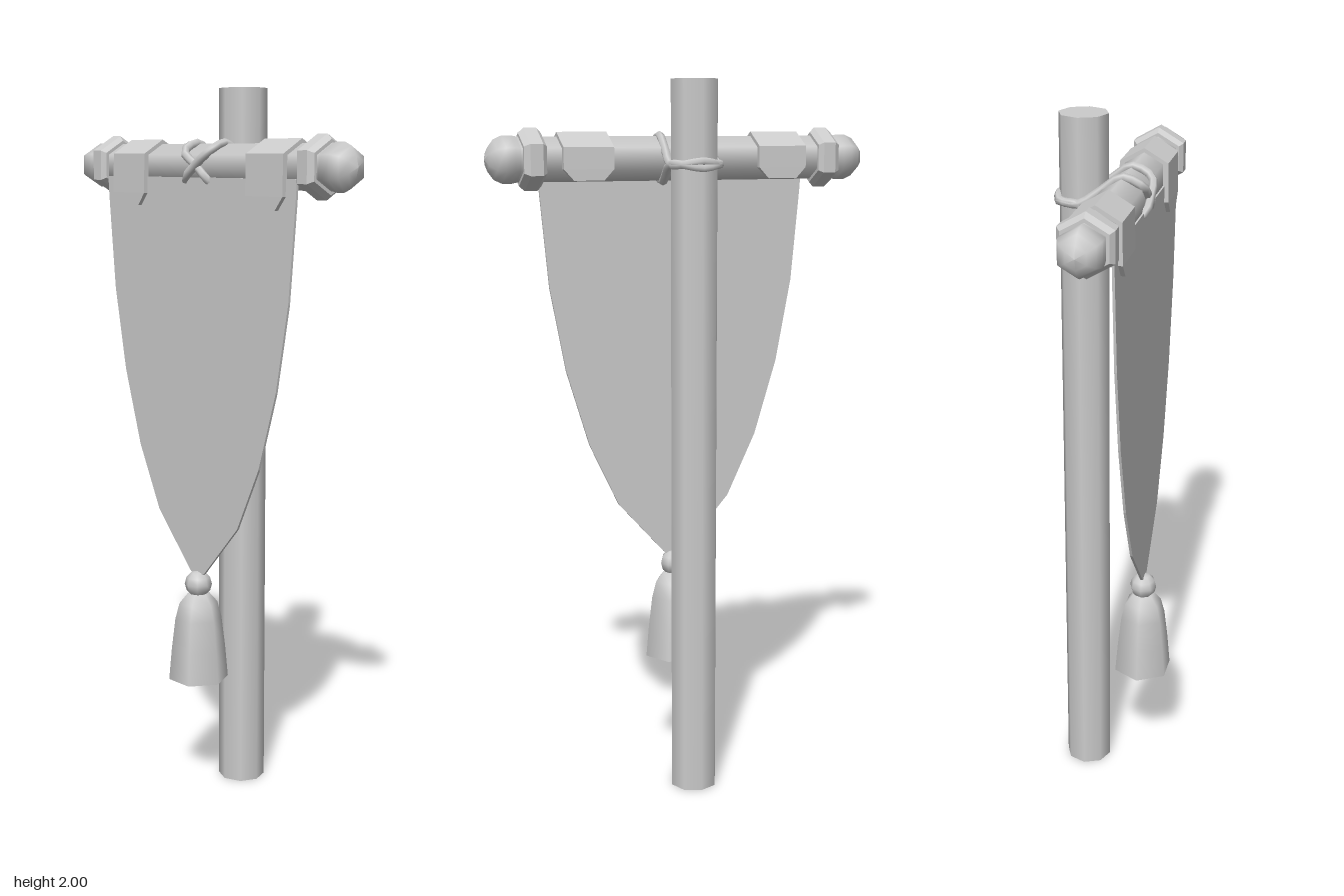
import * as THREE from 'three';

const V2 = (p) => new THREE.Vector2(p[0], p[1]);
const V3 = (p) => new THREE.Vector3(p[0], p[1], p[2]);
const BAR_Y = 1.79, BAR_Z = 0.035;

function material(options = {}) {
  return new THREE.MeshStandardMaterial({ color: 0xcccccc, ...options });
}

function part(parent, name, geometry, options) {
  const mesh = new THREE.Mesh(geometry, material(options));
  mesh.name = name;
  parent.add(mesh);
  return mesh;
}

// Six-sided turned shape; profile is [radius, height] from bottom to top
function turned(profile) {
  return new THREE.LatheGeometry(profile.map(V2), 6, Math.PI / 2);
}

// Lofted strap: rows of [y, z, half width, normal y, normal z] with a thickness
function strapGeometry(rows, thickness) {
  const pos = [], index = [];
  for (const [y, z, w, ny, nz] of rows) {
    const iy = y - ny * thickness, iz = z - nz * thickness;
    pos.push(-w, y, z, w, y, z, w, iy, iz, -w, iy, iz);
  }
  const last = (rows.length - 1) * 4;
  for (let r = 0; r < last; r += 4) {
    for (let k = 0; k < 4; k++) {
      const a = r + k, b = r + (k + 1) % 4;
      index.push(a, b, b + 4, a, b + 4, a + 4);
    }
  }
  index.push(0, 2, 1, 0, 3, 2, last, last + 1, last + 2, last, last + 2, last + 3);
  const g = new THREE.BufferGeometry();
  g.setAttribute('position', new THREE.Float32BufferAttribute(pos, 3));
  g.setIndex(index);
  g.computeVertexNormals();
  return g;
}

export function createModel() {
  const root = new THREE.Group();
  root.name = 'hangingBanner';

  // Upright pole
  part(root, 'pole', new THREE.CylinderGeometry(0.067, 0.067, 2, 8)).position.set(0, 1, -0.08);

  // Crossbar with its collars and rounded end knobs
  const bar = new THREE.Group();
  bar.name = 'crossbar';
  bar.position.set(0, BAR_Y, BAR_Z);
  bar.rotation.z = -Math.PI / 2;
  root.add(bar);
  part(bar, 'barShaft', new THREE.CylinderGeometry(0.06, 0.06, 0.92, 6, 1, false, Math.PI / 2));
  for (const s of [1, -1]) {
    const end = new THREE.Group();
    end.name = s > 0 ? 'leftBarEnd' : 'rightBarEnd';
    if (s < 0) end.rotation.x = Math.PI;
    bar.add(end);
    part(end, 'collar', turned([
      [0.055, 0.393], [0.07, 0.393], [0.083, 0.405], [0.083, 0.44], [0.07, 0.455], [0.055, 0.455],
    ]), { flatShading: true });
    part(end, 'knob', turned([
      [0.058, 0.45], [0.063, 0.475], [0.063, 0.5], [0.053, 0.523], [0.03, 0.54], [0, 0.548],
    ]));
  }

  // Cloth: pointed outline, mirrored about the middle
  const side = [[0.39, 1.76], [0.386, 1.7], [0.362, 1.44], [0.318, 1.205], [0.253, 0.99], [0.168, 0.81], [0.03, 0.655]];
  const outline = [...side, [0, 0.635], ...side.map(([x, y]) => [-x, y]).reverse()];
  const cloth = new THREE.ExtrudeGeometry(new THREE.Shape(outline.map(V2)), { depth: 0.007, bevelEnabled: false });
  part(root, 'cloth', cloth, { side: THREE.DoubleSide }).position.z = 0.085;

  // Straps folded over the bar, with clipped corners on both flaps
  const strapRows = [
    [1.68, 0.104, 0.042, 0, 1], [1.715, 0.104, 0.07, 0, 1], [1.823, 0.102, 0.07, 0.3, 0.9],
    [1.862, 0.035, 0.07, 1, 0], [1.823, -0.033, 0.07, 0.3, -0.9],
    [1.765, -0.034, 0.07, 0, -1], [1.735, -0.034, 0.042, 0, -1],
  ];
  for (const s of [1, -1]) {
    part(root, s > 0 ? 'leftStrap' : 'rightStrap', strapGeometry(strapRows, 0.016),
      { flatShading: true, side: THREE.DoubleSide }).position.x = s * 0.28;
  }

  // Rope lashing: two loops that cross in front of the bar and circle the pole
  for (const s of [1, -1]) {
    const path = [
      [0, 1.777 + s * 0.009, -0.147], [s * 0.05, 1.777, -0.13], [s * 0.068, 1.777, -0.08],
      [s * 0.062, 1.815, -0.02], [s * 0.058, 1.852, 0.035], [s * 0.05, 1.828, 0.09],
      [0, 1.79, 0.094 + s * 0.004], [-s * 0.045, 1.755, 0.09], [-s * 0.05, 1.728, 0.035],
      [-s * 0.06, 1.75, -0.02], [-s * 0.068, 1.777, -0.08], [-s * 0.05, 1.777, -0.13],
    ];
    const curve = new THREE.CatmullRomCurve3(path.map(V3), true);
    part(root, s > 0 ? 'ropeLoopA' : 'ropeLoopB', new THREE.TubeGeometry(curve, 32, 0.012, 6, true));
  }

  // Tassel at the point of the cloth
  const tassel = new THREE.Group();
  tassel.name = 'tassel';
  tassel.position.z = 0.088;
  root.add(tassel);
  part(tassel, 'bead', new THREE.SphereGeometry(0.039, 8, 6)).position.y = 0.62;
  part(tassel, 'skirt', turned([
    [0.086, 0.34], [0.078, 0.43], [0.067, 0.52], [0.055, 0.565], [0.032, 0.592], [0, 0.595],
  ]), { side: THREE.DoubleSide });

  return root;
}
